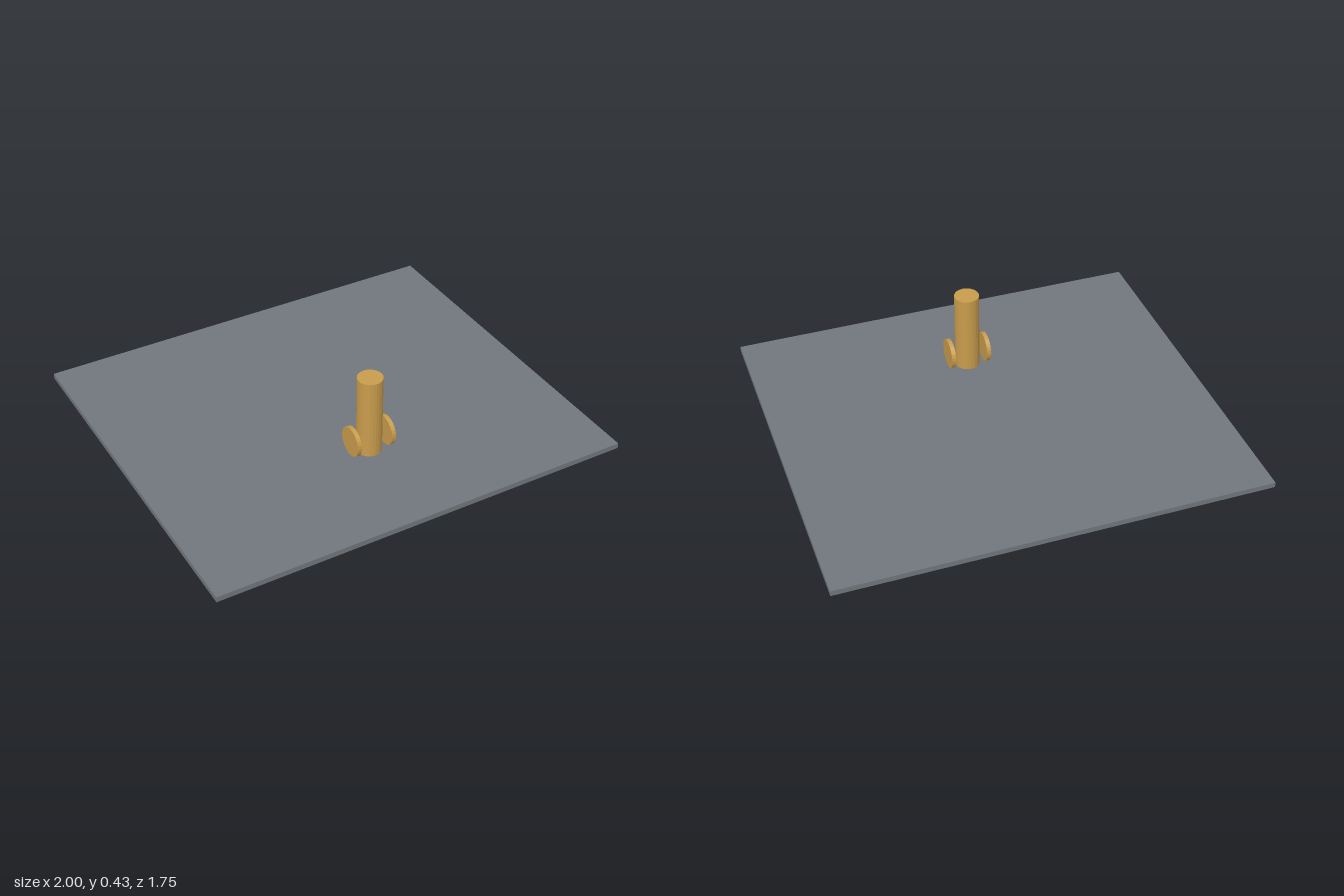
import * as THREE from 'three';

export function createModel() {
  const model = new THREE.Group();
  const slate = new THREE.MeshStandardMaterial({ color: 0x70777c });
  slate.name = 'slate grey';
  const brass = new THREE.MeshStandardMaterial({ color: 0xc89c4c });
  brass.name = 'brass';

  const add = (name, geometry, material, x, y, z) => {
    const mesh = new THREE.Mesh(geometry, material);
    mesh.name = name;
    mesh.position.set(x, y, z);
    model.add(mesh);
    return mesh;
  };
  // Faceted cylinder with flat normals
  const drum = (radius, length) =>
    new THREE.CylinderGeometry(radius, radius, length, 24).toNonIndexed();
  const flat = (geometry) => {
    geometry.computeVertexNormals();
    return geometry;
  };

  // Thin ground slab
  add('baseSlab', new THREE.BoxGeometry(2, 0.026, 1.75), slate, 0, 0.013, 0);

  // Upright barrel, hovering just above the slab
  const z = 0.374;
  add('barrel', flat(drum(0.058, 0.387)), brass, 0, 0.2365, z);

  // A disc wheel on each side of the barrel
  for (const side of [1, -1]) {
    const wheel = add(side > 0 ? 'leftWheel' : 'rightWheel',
      flat(drum(0.07, 0.02)), brass, side * 0.087, 0.117, z);
    wheel.rotation.z = Math.PI / 2;
  }
  return model;
}
